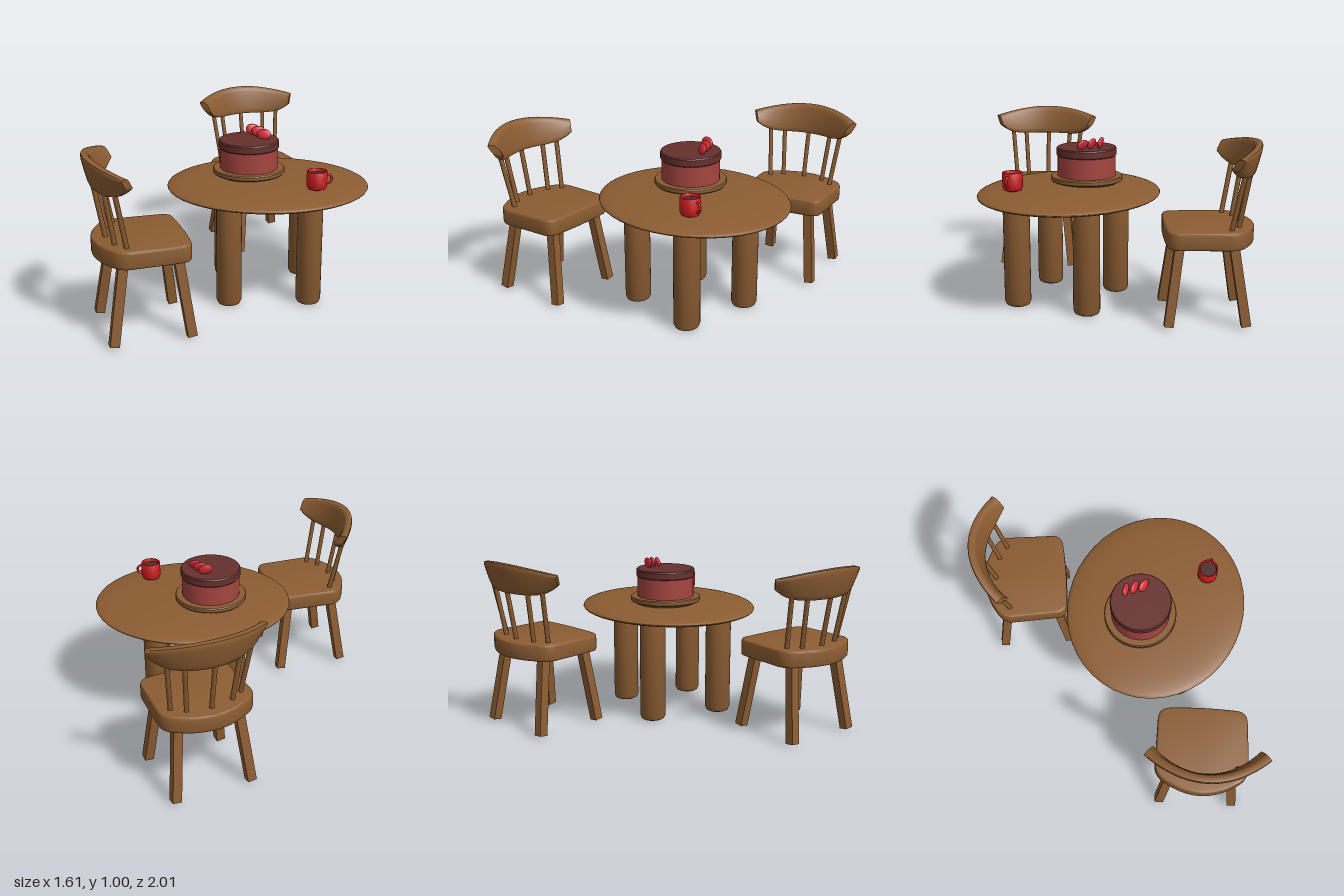
import * as THREE from 'three';
import { toCreasedNormals } from 'three/addons/utils/BufferGeometryUtils.js';

const paint = (color) => new THREE.MeshStandardMaterial({ color });
const wood = paint(0x8b5c32);
const sponge = paint(0xa44440);
const frosting = paint(0x66302c);
const berryRed = paint(0xd42c38);
const mugRed = paint(0xcc1c20);
const coffeeBrown = paint(0x4a2e28);

function add(parent, name, geometry, material, x = 0, y = 0, z = 0) {
  const mesh = new THREE.Mesh(geometry, material);
  mesh.name = name;
  mesh.position.set(x, y, z);
  parent.add(mesh);
  return mesh;
}

// Solid of revolution from [radius, height] pairs, edges kept crisp
function lathe(points, segments = 40) {
  const profile = points.map(([r, y]) => new THREE.Vector2(r, y));
  return toCreasedNormals(new THREE.LatheGeometry(profile, segments), 0.6);
}

// Straight part whose y axis runs between two points
function strut(parent, name, geometryOfLength, from, to) {
  const a = new THREE.Vector3(...from), b = new THREE.Vector3(...to);
  const dir = b.clone().sub(a);
  const mesh = add(parent, name, geometryOfLength(dir.length()), wood);
  mesh.position.copy(a).add(b).multiplyScalar(0.5);
  mesh.quaternion.setFromUnitVectors(new THREE.Vector3(0, 1, 0), dir.normalize());
}

// Curved, leaning top rail: rounded cross-sections swept along an arc
function railGeometry() {
  const steps = 24, sides = 16, pos = [], index = [];
  const soft = (v) => Math.sign(v) * Math.pow(Math.abs(v), 0.5);
  const ring = (t, scale) => {
    const slope = Math.atan2(2 * 0.135 * t, 0.325);
    const nx = Math.sin(slope), nz = -Math.cos(slope);
    const top = 1.01 - 0.05 * t * t;
    const bottom = 0.83 + 0.065 * Math.pow(Math.abs(t), 6);
    for (let j = 0; j < sides; j++) {
      const a = (j / sides) * Math.PI * 2;
      const v = soft(Math.sin(a)) * scale;
      const out = 0.026 * soft(Math.cos(a)) * scale + 0.022 * v;
      pos.push(0.315 * t + nx * out, (top + bottom) / 2 + v * (top - bottom) / 2, -0.265 + 0.135 * t * t + nz * out);
    }
  };
  ring(-1, 0);
  for (let i = 0; i <= steps; i++) ring(-1 + (2 * i) / steps, 1);
  ring(1, 0);
  for (let i = 0; i < steps + 2; i++) {
    for (let j = 0; j < sides; j++) {
      const a = i * sides + j, b = i * sides + (j + 1) % sides;
      index.push(a, b, a + sides, b, b + sides, a + sides);
    }
  }
  const g = new THREE.BufferGeometry();
  g.setAttribute('position', new THREE.Float32BufferAttribute(pos, 3));
  g.setIndex(index);
  return toCreasedNormals(g, 0.9);
}

// Seat slab: rounded front corners and a bowed back edge
function seatGeometry() {
  const s = new THREE.Shape();
  s.moveTo(-0.2, 0.21);
  s.quadraticCurveTo(0, 0.225, 0.2, 0.21);
  s.quadraticCurveTo(0.25, 0.205, 0.25, 0.15);
  s.lineTo(0.258, -0.12);
  s.quadraticCurveTo(0.255, -0.17, 0.2, -0.2);
  s.quadraticCurveTo(0, -0.325, -0.2, -0.2);
  s.quadraticCurveTo(-0.255, -0.17, -0.258, -0.12);
  s.lineTo(-0.25, 0.15);
  s.quadraticCurveTo(-0.25, 0.205, -0.2, 0.21);
  const g = new THREE.ExtrudeGeometry(s, {
    depth: 0.07, bevelThickness: 0.015, bevelSize: 0.012, bevelSegments: 3, curveSegments: 10,
  });
  g.rotateX(Math.PI / 2);
  return toCreasedNormals(g, 0.6);
}

function createChair() {
  const chair = new THREE.Group();
  chair.name = 'chair';
  add(chair, 'seat', seatGeometry(), wood, 0, 0.538, 0);
  add(chair, 'backRail', railGeometry(), wood);
  const legBar = (l) => new THREE.BoxGeometry(0.052, l, 0.052);
  const spindleBar = (l) => new THREE.CylinderGeometry(0.014, 0.014, l, 8);
  for (const side of [-1, 1]) {
    strut(chair, 'frontLeg', legBar, [side * 0.225, 0.016, 0.21], [side * 0.172, 0.48, 0.15]);
    strut(chair, 'backLeg', legBar, [side * 0.225, 0.016, -0.215], [side * 0.175, 0.48, -0.14]);
  }
  // Spindles fan outwards from the seat to the rail
  for (const [x0, z0, x1, z1] of [[0, -0.195, 0, -0.255], [0.13, -0.17, 0.155, -0.225], [0.2, -0.12, 0.235, -0.182]]) {
    for (const side of x0 ? [-1, 1] : [1]) {
      strut(chair, 'spindle', spindleBar, [side * x0, 0.53, z0], [side * x1, 0.87, z1]);
    }
  }
  return chair;
}

function createTable() {
  const table = new THREE.Group();
  table.name = 'table';
  const top = add(table, 'tableTop', new THREE.SphereGeometry(1, 44, 28), wood, 0.219, 0.655, 0.138);
  top.scale.set(0.588, 0.05, 0.523);
  const leg = lathe([[0, 0.005], [0.052, 0.005], [0.065, 0.012], [0.073, 0.032], [0.073, 0.65], [0, 0.65]], 28);
  for (const x of [-0.017, 0.445]) {
    for (const z of [0.375, -0.062]) {
      add(table, 'tableLeg', leg, wood, x, 0, z).scale.z = 1.07;
    }
  }
  return table;
}

function createCake() {
  const cake = new THREE.Group();
  cake.name = 'cake';
  cake.position.set(0.111, 0, 0.074);
  add(cake, 'cakeBoard', lathe([[0, 0.69], [0.17, 0.69], [0.19, 0.71], [0.207, 0.712], [0.212, 0.718],
    [0.212, 0.736], [0.207, 0.742], [0, 0.742]]), wood);
  add(cake, 'cakeBody', lathe([[0, 0.74], [0.171, 0.74], [0.171, 0.865], [0, 0.865]]), sponge);
  add(cake, 'frosting', lathe([[0, 0.862], [0.173, 0.862], [0.177, 0.867], [0.177, 0.903], [0.172, 0.91], [0, 0.91]]), frosting);
  // Leaning fruit slices
  [[0.03, 0.943, -0.1, 0.1], [0.062, 0.94, -0.058, -0.1], [0.09, 0.934, -0.012, -0.3]].forEach(([x, y, z, turn], i) => {
    const slice = add(cake, 'fruitSlice', new THREE.SphereGeometry(1, 18, 12), berryRed, x, y, z);
    slice.scale.set(0.043, 0.032, 0.014);
    slice.rotation.set(-0.25 - i * 0.08, turn, -0.2);
  });
  return cake;
}

function createMug() {
  const mug = new THREE.Group();
  mug.name = 'mug';
  mug.position.set(0.477, 0.697, 0.377);
  add(mug, 'mugBody', lathe([[0, 0], [0.038, 0], [0.051, 0.006], [0.058, 0.022], [0.058, 0.104],
    [0.056, 0.107], [0.05, 0.107], [0.048, 0.104], [0.048, 0.02], [0, 0.02]], 28), mugRed);
  const coffee = add(mug, 'coffee', new THREE.CircleGeometry(0.049, 28), coffeeBrown, 0, 0.088, 0);
  coffee.rotation.x = -Math.PI / 2;
  add(mug, 'mugHandle', new THREE.TorusGeometry(0.027, 0.007, 8, 24), mugRed, 0.056, 0.06, 0);
  return mug;
}

export function createModel() {
  const model = new THREE.Group();
  model.name = 'diningSet';
  model.add(createTable(), createCake(), createMug());
  // Two chairs turned towards the table: [x, z, heading in degrees]
  for (const [x, z, heading] of [[-0.495, 0.645, 105], [0.208, -0.675, 22.5]]) {
    const chair = createChair();
    chair.position.set(x, 0, z);
    chair.rotation.y = THREE.MathUtils.degToRad(heading);
    model.add(chair);
  }
  return model;
}
